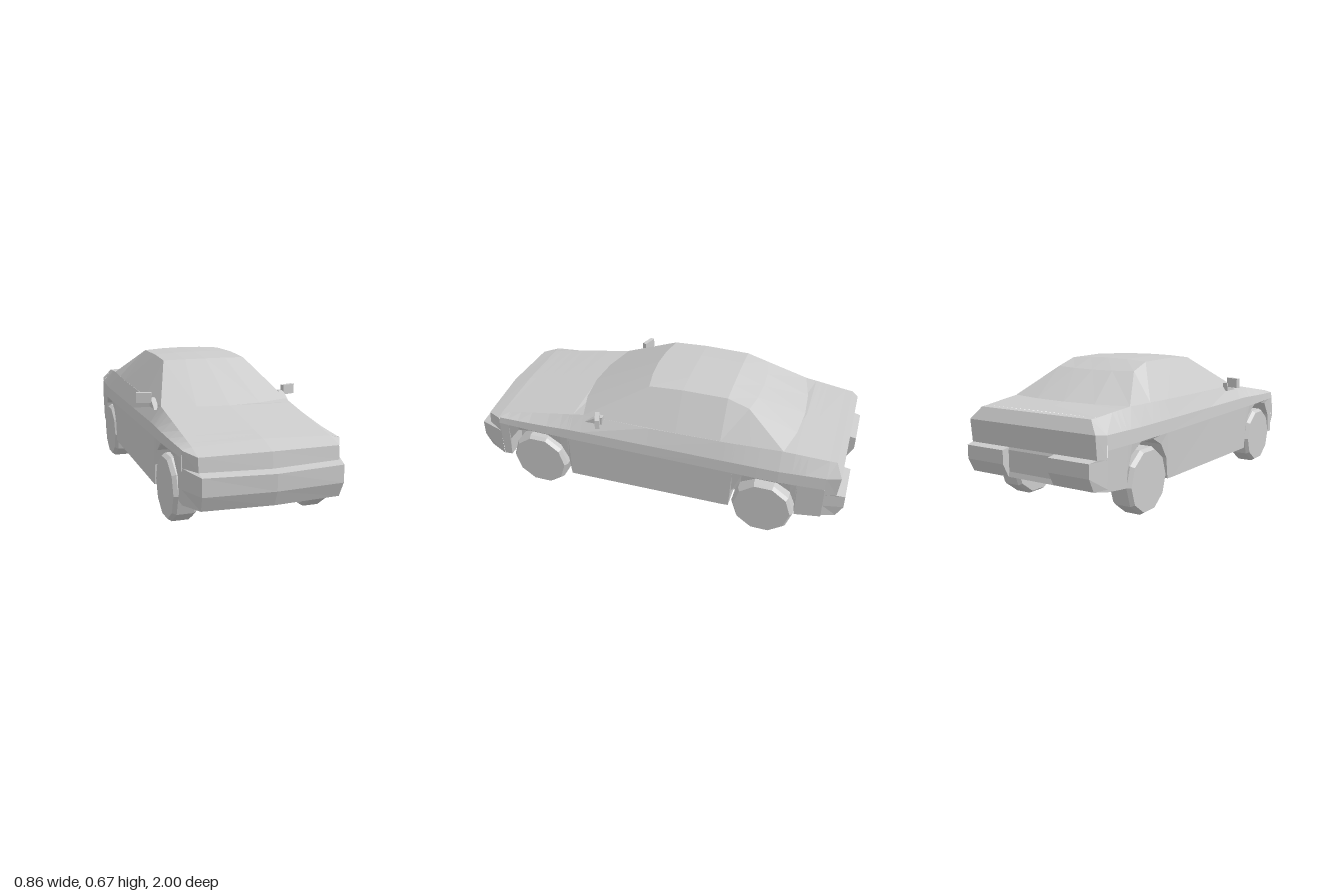
import * as THREE from 'three';

const material = new THREE.MeshStandardMaterial({ color: 0xcccccc, flatShading: true });

function add(group, name, geometry) {
  const mesh = new THREE.Mesh(geometry, material);
  mesh.name = name;
  group.add(mesh);
  return mesh;
}

// Faceted skin over rows of [x, y, z] points
function skin(rows) {
  const out = [];
  for (let i = 0; i < rows.length - 1; i++) {
    for (let j = 0; j < rows[i].length - 1; j++) {
      const a = rows[i][j], b = rows[i + 1][j], c = rows[i + 1][j + 1], d = rows[i][j + 1];
      out.push(...a, ...b, ...c, ...a, ...c, ...d);
    }
  }
  const g = new THREE.BufferGeometry();
  g.setAttribute('position', new THREE.Float32BufferAttribute(out, 3));
  g.computeVertexNormals();
  return g;
}

// Completes a half row ending on the centre line (or at its last pair) by mirroring
const flip = ([x, y, z]) => [-x, y, z];
const mirrored = (half) => [...half, ...half.slice().reverse().map(flip)];

// Linear lookup in a [z, value] table running from front to back
function at(table, z) {
  if (z >= table[0][0]) return table[0][1];
  for (let i = 1; i < table.length; i++) {
    const [z0, v0] = table[i - 1], [z1, v1] = table[i];
    if (z >= z1) return v0 + (v1 - v0) * (z0 - z) / (z0 - z1);
  }
  return table[table.length - 1][1];
}

// Long profiles of the lower body
const floorY = [[0.84, 0.135], [0.43, 0.105], [-0.437, 0.12], [-0.77, 0.152], [-0.9, 0.165]];
const sideX = [[0.84, 0.377], [0.6, 0.388], [-0.66, 0.388], [-0.9, 0.37]];
const shoulderY = [[0.84, 0.378], [0.43, 0.4], [-0.9, 0.41]];
const edgeX = [[0.84, 0.33], [0.36, 0.332], [0, 0.345], [-0.4, 0.345], [-0.68, 0.335], [-0.9, 0.315]];
const edgeY = [[0.84, 0.388], [0.36, 0.475], [-0.68, 0.498], [-0.9, 0.479]];
const topY = [[0.84, 0.4], [0.42, 0.47], [0.3, 0.46], [-0.6, 0.48], [-0.727, 0.498], [-0.9, 0.48]];

// Wheel arch outlines as [z, y]
const frontArch = [[0.795, 0.14], [0.785, 0.25], [0.727, 0.325], [0.66, 0.338],
  [0.555, 0.338], [0.48, 0.29], [0.44, 0.21], [0.43, 0.107]];
const rearArch = [[-0.437, 0.122], [-0.448, 0.225], [-0.496, 0.3], [-0.566, 0.338],
  [-0.673, 0.338], [-0.737, 0.295], [-0.765, 0.225], [-0.77, 0.152]];

function bodySection([z, arch]) {
  const f = at(floorY, z), x = at(sideX, z), a = arch ?? f;
  return mirrored([
    [0, f, z], [0.26, f, z], [0.26, a, z], [x - 0.003, a, z], [x + 0.002, 0.345, z],
    [x - 0.003, at(shoulderY, z), z], [at(edgeX, z), at(edgeY, z), z], [0, at(topY, z), z],
  ]);
}

function lowerBody() {
  const stations = [[0.84], ...frontArch, [0.42], [0.36], [0], [-0.4],
    ...rearArch, [-0.68 - 0.12], [-0.9]];
  return skin(stations.map(bodySection));
}

// Bumper, grille and hood lip: corner height, edge [x, y, z], centre [y, z]
function nose() {
  const rows = [
    [0.135, [0.33, 0.135, 0.84], [0.135, 0.84]],
    [0.135, [0.325, 0.135, 0.945], [0.135, 0.968]],
    [0.205, [0.33, 0.205, 0.975], [0.205, 0.997]],
    [0.29, [0.33, 0.288, 0.975], [0.284, 1]],
    [0.3, [0.33, 0.298, 0.928], [0.293, 0.95]],
    [0.376, [0.33, 0.363, 0.922], [0.367, 0.942]],
    [0.378, [0.33, 0.388, 0.84], [0.4, 0.84]],
  ];
  return skin(rows.map(([cy, edge, [y, z]]) => mirrored([[0.377, cy, 0.84], edge, [0, y, z]])));
}

// Rear bumper with a plate recess, tail panel and trunk lip
function tail() {
  const rows = [
    [0.165, 0.345, 0.165, -0.9],
    [0.177, 0.345, 0.177, -0.968],
    [0.24, 0.347, 0.24, -1, 0.2],
    [0.305, 0.347, 0.305, -1, 0.3],
    [0.31, 0.357, 0.312, -0.958],
    [0.41, 0.357, 0.42, -0.968],
    [0.41, 0.312, 0.477, -0.935],
    [0.41, 0.315, 0.479, -0.9],
  ];
  return skin(rows.map(([cy, x, y, z, recessY]) => mirrored([
    [-0.368, cy, -0.9], [-x, y, z], [-0.13, y, z],
    [-0.13, recessY ?? y, recessY ? -0.962 : z],
  ])));
}

// Cabin: base, roof edge and centre line at each station
function cabin() {
  const stations = [
    [[0.332, 0.475, 0.36], [0.332, 0.475, 0.36], [0, 0.47, 0.425]],
    [[0.341, 0.479, 0.1], [0.225, 0.653, 0.035], [0, 0.658, 0.06]],
    [[0.345, 0.484, -0.14], [0.223, 0.664, -0.14], [0, 0.673, -0.14]],
    [[0.345, 0.49, -0.37], [0.22, 0.663, -0.37], [0, 0.673, -0.37]],
    [[0.341, 0.494, -0.52], [0.225, 0.628, -0.48], [0, 0.625, -0.505]],
    [[0.335, 0.498, -0.68], [0.335, 0.498, -0.68], [0, 0.498, -0.728]],
  ];
  return skin(stations.map(([base, edge, mid]) => {
    const half = [edge[0] / 2, ...[1, 2].map((k) => edge[k] * 0.25 + mid[k] * 0.75)];
    return mirrored([base, edge, half, mid]);
  }));
}

// Ten-sided wheel with chamfered rims, flat side down
function wheel() {
  const profile = [[0, -0.059], [0.145, -0.059], [0.1577, -0.04], [0.1577, 0.04], [0.145, 0.059], [0, 0.059]];
  return new THREE.LatheGeometry(profile.map(([r, y]) => new THREE.Vector2(r, y)), 10)
    .rotateZ(Math.PI / 2);
}

// Triangular mirror foot, drawn in z/y and given thickness along x
function mirrorFoot() {
  const shape = new THREE.Shape([[-0.34, 0.455], [-0.25, 0.457], [-0.245, 0.5], [-0.27, 0.5]]
    .map(([x, y]) => new THREE.Vector2(x, y)));
  return new THREE.ExtrudeGeometry(shape, { depth: 0.025, bevelEnabled: false })
    .translate(0, 0, -0.0125).rotateY(Math.PI / 2);
}

export function createModel() {
  const car = new THREE.Group();
  car.name = 'car';
  add(car, 'lowerBody', lowerBody());
  add(car, 'frontBumperAndGrille', nose());
  add(car, 'rearBumperAndTail', tail());
  add(car, 'cabin', cabin());

  for (const [side, s] of [['left', 1], ['right', -1]]) {
    for (const [end, z] of [['Front', 0.617], ['Rear', -0.608]]) {
      add(car, `${side}${end}Wheel`, wheel()).position.set(s * 0.331, 0.15, z);
    }
    const mirror = new THREE.Group();
    mirror.name = `${side}Mirror`;
    add(mirror, 'mirrorFoot', mirrorFoot()).position.x = s * 0.347;
    const head = add(mirror, 'mirrorHead', new THREE.BoxGeometry(0.076, 0.05, 0.022));
    head.position.set(s * 0.39, 0.504, 0.257);
    head.rotation.y = s * 0.35;
    car.add(mirror);
  }
  return car;
}
